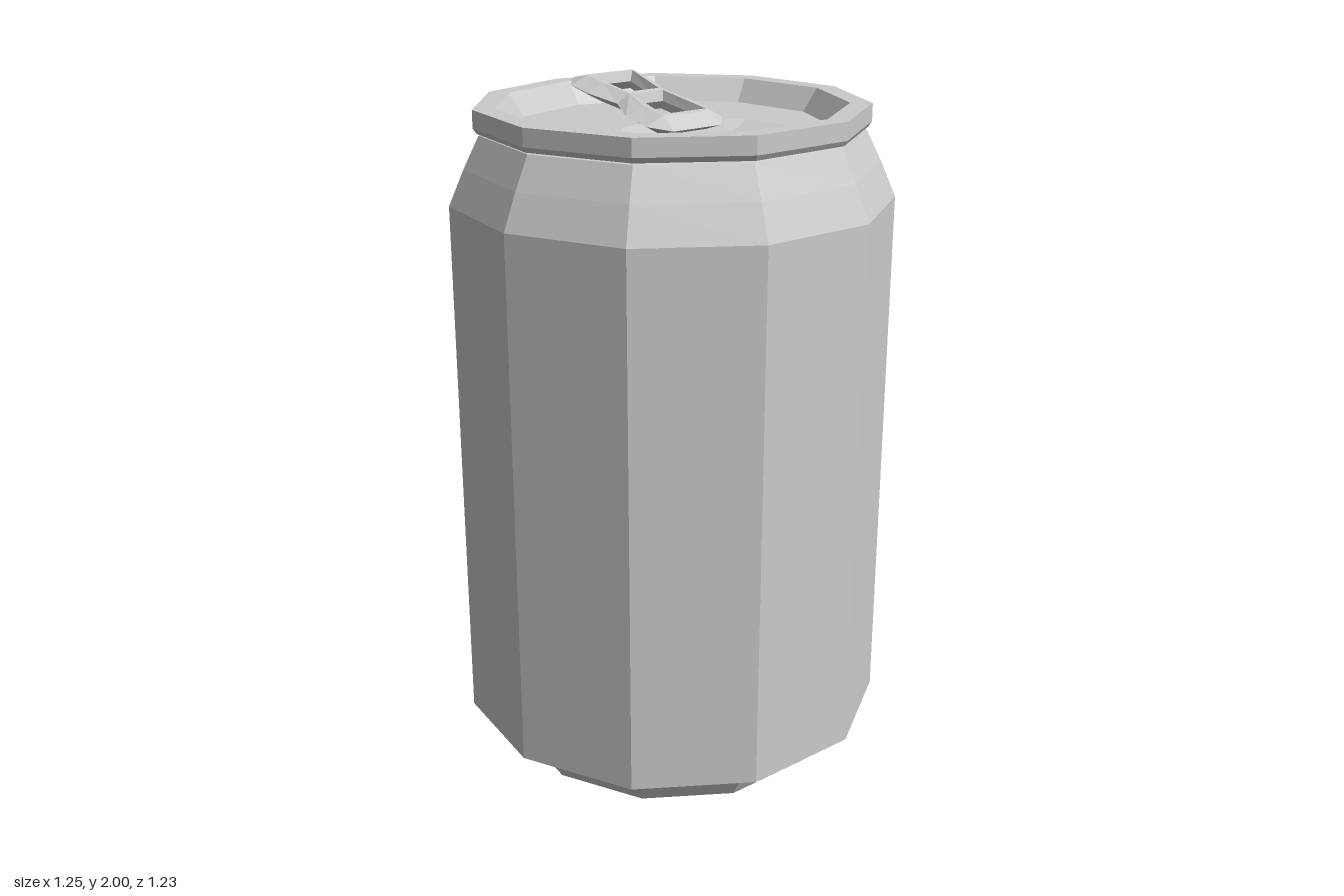
import * as THREE from 'three';

const SIDES = 11;
const CENTRE_Z = 0.013;
const FLOOR = 1.885; // height of the sunken lid
const DIMPLE = { z: 0.157, r: 0.25 };

const material = new THREE.MeshStandardMaterial({ color: 0xcccccc, flatShading: true });

function addMesh(parent, name, geometry) {
  const mesh = new THREE.Mesh(geometry, material);
  mesh.name = name;
  parent.add(mesh);
  return mesh;
}

// Eleven-sided turned part with one corner at the back; points are [radius, y]
function turned(points) {
  return new THREE.LatheGeometry(points.map(([r, y]) => new THREE.Vector2(r, y)), SIDES, Math.PI, Math.PI * 2);
}

// Corners of an eleven-sided outline in the plane, y pointing to the back
function polygon(r, z) {
  return Array.from({ length: SIDES }, (_, i) => {
    const a = (i / SIDES) * Math.PI * 2;
    return new THREE.Vector2(Math.sin(a) * r, Math.cos(a) * r - z);
  });
}

// Mirror a half outline of [x, z] points into a closed loop
function mirrored(half) {
  return [...half, ...half.slice().reverse().map(([x, z]) => [-x, z])];
}

// Surface through closed loops of equal length, each at its own height
function band(loops, heights) {
  const n = loops[0].length;
  const positions = [];
  const index = [];
  loops.forEach((loop, j) => loop.forEach(([x, z]) => positions.push(x, heights[j], z)));
  for (let j = 0; j < loops.length - 1; j++) {
    for (let i = 0; i < n; i++) {
      const k = (i + 1) % n;
      const a = j * n + i, b = j * n + k, c = a + n, d = b + n;
      index.push(a, b, c, b, d, c);
    }
  }
  const geometry = new THREE.BufferGeometry();
  geometry.setAttribute('position', new THREE.Float32BufferAttribute(positions, 3));
  geometry.setIndex(index);
  geometry.computeVertexNormals();
  return geometry;
}

// Flat face with holes, looking up (side = 1) or down (side = -1)
function face(outline, holes, side, height) {
  const to2D = (loop) => loop.map(([x, z]) => new THREE.Vector2(x, -side * z));
  const shape = new THREE.Shape(to2D(outline));
  shape.holes = holes.map((hole) => new THREE.Path(to2D(hole)));
  return new THREE.ShapeGeometry(shape).rotateX(-side * Math.PI / 2).translate(0, side * height, 0);
}

function createTab() {
  const tab = new THREE.Group();
  tab.name = 'pullTab';
  const t = 0.027; // half thickness

  const edge = mirrored([[0.083, -0.337], [0.134, -0.283], [0.128, -0.205], [0.098, -0.108],
    [0.137, -0.017], [0.134, 0.072], [0.083, 0.124]]);
  const ridge = mirrored([[0.075, -0.279], [0.083, -0.273], [0.08, -0.205], [0.061, -0.108],
    [0.083, -0.015], [0.083, 0.072], [0.075, 0.078]]);
  const openings = [
    { rim: [[0.077, -0.272], [0.055, -0.12]], waist: [[0.063, -0.257], [0.047, -0.132]] },
    { rim: [[0.055, -0.1], [0.077, 0.062]], waist: [[0.048, -0.087], [0.067, 0.045]] },
  ].map(({ rim, waist }) => ({ rim: mirrored(rim), waist: mirrored(waist) }));
  const rims = openings.map((o) => o.rim);

  addMesh(tab, 'tabEdge', band([ridge, edge, ridge], [t, 0, -t]));
  addMesh(tab, 'tabTop', face(ridge, rims, 1, t));
  addMesh(tab, 'tabUnderside', face(ridge, rims, -1, t));
  openings.forEach(({ rim, waist }) => {
    addMesh(tab, 'tabOpening', band([rim, waist, rim], [-t, 0, t]));
  });

  // Tilt so the back end is lifted
  tab.scale.z = 1.02;
  tab.rotation.x = 0.2;
  tab.position.y = 1.917;
  return tab;
}

export function createModel() {
  const can = new THREE.Group();
  can.name = 'can';

  // Base, wall and shoulder
  addMesh(can, 'body', turned([
    [0, 0], [0.48, 0], [0.52, 0.07], [0.629, 0.13], [0.629, 1.69],
    [0.585, 1.79], [0.54, 1.88], [0.525, 1.885],
  ])).position.z = CENTRE_Z;

  // Raised rim around the lid
  addMesh(can, 'rim', turned([
    [0.525, 1.885], [0.545, 1.885], [0.555, 1.9], [0.555, 1.95], [0.493, 1.95], [0.446, FLOOR],
  ])).position.z = CENTRE_Z;

  // Lid floor with an opening for the dimple
  const lidShape = new THREE.Shape(polygon(0.446, CENTRE_Z));
  lidShape.holes.push(new THREE.Path(polygon(DIMPLE.r, DIMPLE.z + CENTRE_Z)));
  addMesh(can, 'lid', new THREE.ShapeGeometry(lidShape).rotateX(-Math.PI / 2)).position.y = FLOOR;

  // Shallow pressed dimple in front of the tab
  addMesh(can, 'lidDimple', turned([
    [DIMPLE.r, FLOOR], [0.15, FLOOR - 0.025], [0, FLOOR - 0.025],
  ])).position.z = DIMPLE.z + CENTRE_Z;

  can.add(createTab());
  return can;
}
